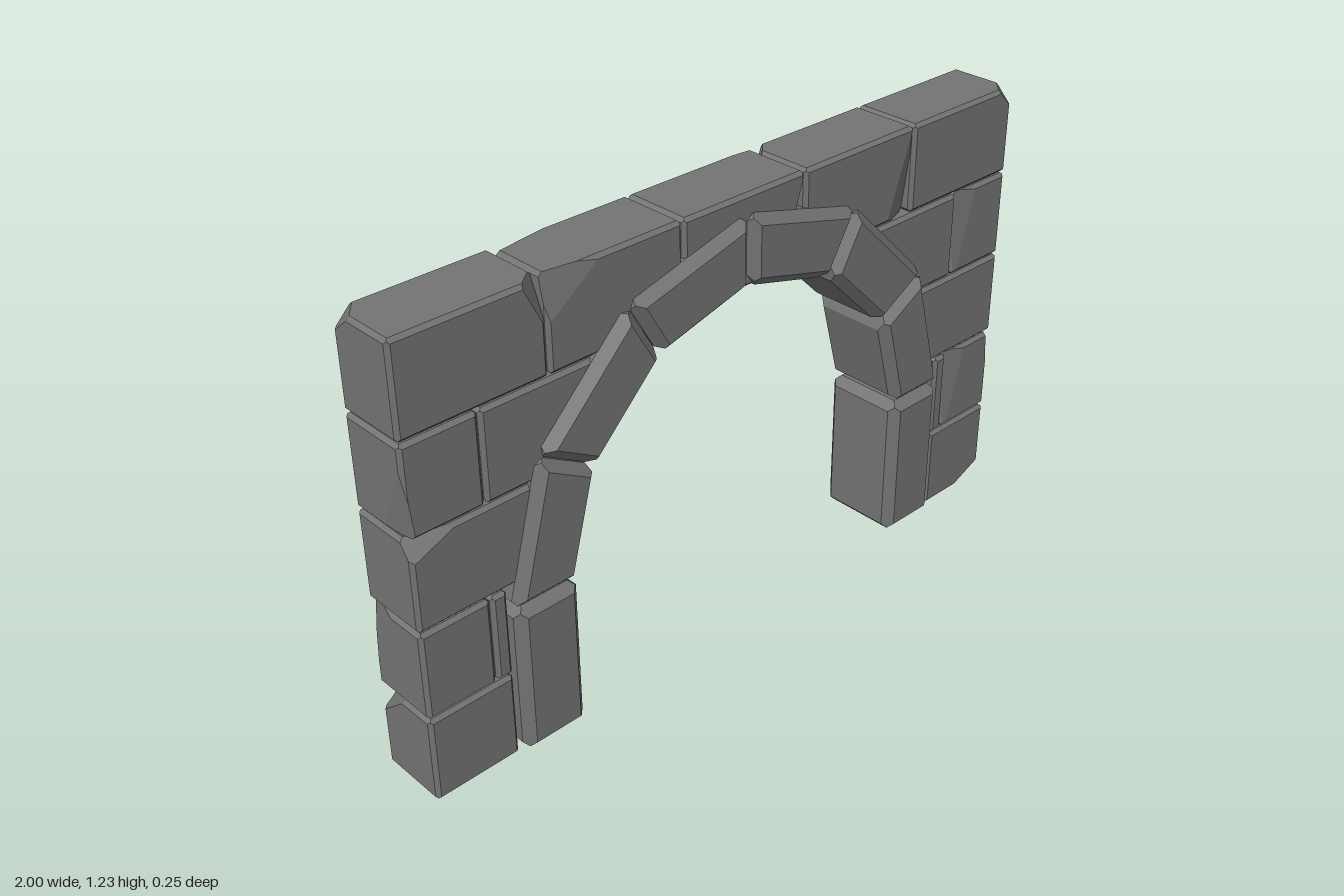
import * as THREE from 'three';

const material = new THREE.MeshStandardMaterial({ color: 0x737373, flatShading: true });
const plane = (x, y, z, d) => {
  const n = new THREE.Vector3(x, y, z), l = n.length();
  return { n: n.divideScalar(l), d: d / l };
};

// Corner points of the solid lying behind every plane (n·p <= d)
function corners(planes) {
  const points = [];
  for (let i = 0; i < planes.length; i++)
    for (let j = i + 1; j < planes.length; j++)
      for (let k = j + 1; k < planes.length; k++) {
        const [a, b, c] = [planes[i], planes[j], planes[k]];
        const bc = b.n.clone().cross(c.n), det = a.n.dot(bc);
        if (Math.abs(det) < 1e-4) continue;
        const p = bc.multiplyScalar(a.d)
          .addScaledVector(c.n.clone().cross(a.n), b.d)
          .addScaledVector(a.n.clone().cross(b.n), c.d)
          .divideScalar(det);
        if (planes.every(q => q.n.dot(p) <= q.d + 1e-6) &&
            !points.some(q => q.distanceToSquared(p) < 1e-9)) points.push(p);
      }
  return points;
}

// A stone: base planes, bevels between neighbouring planes, then chips [nx, ny, nz, depth]
function stone(name, base, bevel, chips = []) {
  const planes = [...base];
  base.forEach((a, i) => base.slice(i + 1).forEach(b => {
    if (a.n.dot(b.n) < -0.5) return;
    const n = a.n.clone().add(b.n);
    planes.push(plane(n.x, n.y, n.z, a.d + b.d - bevel * n.length()));
  }));
  for (const [x, y, z, depth] of chips) {
    const cut = plane(x, y, z, 0);
    cut.d = Math.max(...corners(planes).map(p => p.dot(cut.n))) - depth;
    planes.push(cut);
  }
  // Fan each face around its sorted corners
  const points = corners(planes), positions = [];
  for (const { n, d } of planes) {
    const face = points.filter(p => Math.abs(p.dot(n) - d) < 1e-5);
    if (face.length < 3) continue;
    const mid = face.reduce((s, p) => s.add(p), new THREE.Vector3()).divideScalar(face.length);
    const u = face[0].clone().sub(mid).normalize(), v = n.clone().cross(u);
    const angle = p => Math.atan2(p.clone().sub(mid).dot(v), p.clone().sub(mid).dot(u));
    face.sort((p, q) => angle(p) - angle(q));
    for (let i = 1; i < face.length - 1; i++)
      for (const p of [face[0], face[i], face[i + 1]]) positions.push(p.x, p.y, p.z);
  }
  const geometry = new THREE.BufferGeometry();
  geometry.setAttribute('position', new THREE.Float32BufferAttribute(positions, 3));
  geometry.computeVertexNormals();
  const mesh = new THREE.Mesh(geometry, material);
  mesh.name = name;
  return mesh;
}

const box = (x0, x1, y0, y1, z) => [
  plane(1, 0, 0, x1), plane(-1, 0, 0, -x0), plane(0, 1, 0, y1),
  plane(0, -1, 0, -y0), plane(0, 0, 1, z), plane(0, 0, -1, z),
];

const ARCH_Y = 0.43, ARCH_Z = 0.123, WALL_Z = 0.098;
const COURSE = 0.247, STONE = 0.243, GAP = 0.001;
const ARCH_BEVEL = 0.018, WALL_BEVEL = 0.007;

// Wall joints of each course on one side, from the arch outwards
const joints = [[0.756, 1], [0.756, 0.804, 1], [0.61, 1], [0.4, 0.794, 1], [0.2, 0.6, 1]];

// Broken corners and worn faces of single stones
const chips = {
  leftWall0: [[0.6, -1.4, 1, 0.035]],
  rightWall0: [[-1, 1.2, -1, 0.045]],
  leftWall2: [[0.8, 1, -0.8, 0.025]],
  rightWall2: [[-0.3, 0.7, 1, 0.025]],
  leftWall4: [[0.35, -0.12, 1, 0.025], [-1, 0.4, -1, 0.025]],
  rightWall4: [[-0.15, 0.2, 1, 0.02], [-0.15, 0.35, -1, 0.025]],
  leftTopEnd: [[1, 1, 1, 0.025]],
  rightTopEnd: [[1, 0.5, 1.2, 0.03], [-1, 1, -0.8, 0.025]],
};

// Half of the wall; side is 1 for left, -1 for right
function wallSide(side) {
  const group = new THREE.Group(), hand = side > 0 ? 'left' : 'right';
  group.name = hand + 'Wall';
  joints.forEach((row, course) => {
    for (let i = 0; i < row.length - 1; i++) {
      const inner = row[i] + GAP, outer = row[i + 1] < 1 ? row[i + 1] - GAP : 1;
      const xs = side > 0 ? [inner, outer] : [-outer, -inner];
      const y = course * COURSE, base = box(...xs, y, y + STONE, WALL_Z);
      // fourth course follows the arch ring
      if (course === 3 && i === 0) base.push(plane(-side, -1, 0, -ARCH_Y - 0.62 * Math.SQRT2));
      const end = course === 4 && i === 1;
      // the short end stones of the second and fourth courses lean, in turn to front and back
      const worn = course % 2 && i === 1
        ? [[side, 0.1 * (2 - course), 0.22 * side * (2 - course), 0.016], [-0.2 * side, 0.05, side, 0.013]]
        : chips[hand + (end ? 'TopEnd' : 'Wall' + course)];
      const plain = course % 2 && i === 0;
      group.add(stone('wallStone', base, WALL_BEVEL, plain ? [] : worn));
    }
  });
  return group;
}

export function createModel() {
  const model = new THREE.Group();
  model.name = 'stoneArchway';

  // Arch ring: six wedge stones, 30 degrees each
  const ring = new THREE.Group();
  ring.name = 'archRing';
  ring.position.y = ARCH_Y;
  const s = Math.sin(Math.PI / 12), c = Math.cos(Math.PI / 12);
  for (let i = 0; i < 6; i++) {
    const wedge = stone('archStone', [
      plane(0, 1, 0, 0.755 * c), plane(0, -1, 0, -0.565 * c),
      plane(c, -s, 0, -GAP), plane(-c, -s, 0, -GAP),
      plane(0, 0, 1, ARCH_Z), plane(0, 0, -1, ARCH_Z),
    ], ARCH_BEVEL);
    wedge.rotation.z = (75 - i * 30) * Math.PI / 180;
    ring.add(wedge);
  }
  model.add(ring);

  // Upright stones below the ring
  model.add(stone('leftArchLeg', box(0.56, 0.748, 0, ARCH_Y - GAP, ARCH_Z), ARCH_BEVEL));
  model.add(stone('rightArchLeg', box(-0.748, -0.56, 0, ARCH_Y - GAP, ARCH_Z), ARCH_BEVEL));

  // Wall halves and the stone over the crown
  model.add(wallSide(1), wallSide(-1));
  model.add(stone('crownStone', box(GAP - 0.2, 0.2 - GAP, 4 * COURSE, 4 * COURSE + STONE, WALL_Z),
    WALL_BEVEL, [[1, -0.3, 1.2, 0.04], [0.1, 0.3, -1, 0.012]]));
  return model;
}
